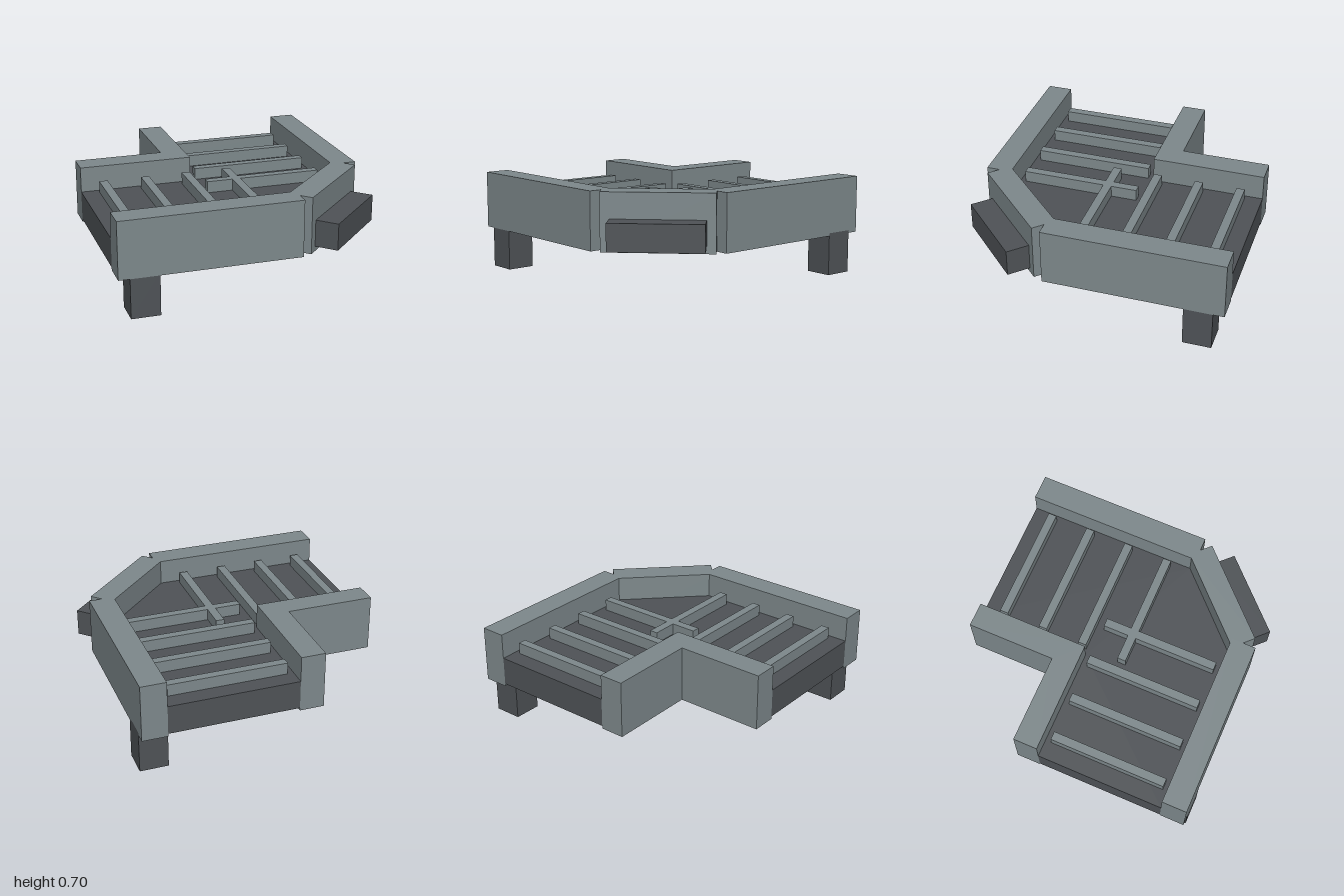
import * as THREE from 'three';

export function createModel() {
  const model = new THREE.Group();
  const wallMat = new THREE.MeshStandardMaterial({ color: 0x7e898c });
  wallMat.name = 'steelGrey';
  const floorMat = new THREE.MeshStandardMaterial({ color: 0x4f5357 });
  floorMat.name = 'darkGrey';

  // box given by its min and max along each axis
  const box = (name, mat, x0, x1, y0, y1, z0, z1) => {
    const mesh = new THREE.Mesh(new THREE.BoxGeometry(x1 - x0, y1 - y0, z1 - z0), mat);
    mesh.position.set((x0 + x1) / 2, (y0 + y1) / 2, (z0 + z1) / 2);
    mesh.name = name;
    model.add(mesh);
    return mesh;
  };
  // plan outline of [x, z] points raised from y0 to y1
  const slab = (name, mat, points, y0, y1) => {
    const shape = new THREE.Shape(points.map(([x, z]) => new THREE.Vector2(x, -z)));
    const geo = new THREE.ExtrudeGeometry(shape, { depth: y1 - y0, bevelEnabled: false });
    geo.rotateX(-Math.PI / 2);
    geo.translate(0, y0, 0);
    const mesh = new THREE.Mesh(geo, mat);
    mesh.name = name;
    model.add(mesh);
  };
  // box turned to face the cut corner, centred at x = z = c
  const cornerBox = (name, mat, length, y0, y1, thick, c) => {
    const mesh = box(name, mat, -length / 2, length / 2, y0, y1, -thick / 2, thick / 2);
    mesh.position.x = mesh.position.z = c;
    mesh.rotation.y = Math.PI / 4;
  };

  const bottom = 0.29, top = 0.705;
  const floorBottom = 0.31, floorTop = 0.52, ribTop = 0.605;

  // L-shaped floor with a cut outer corner
  slab('floor', floorMat, [
    [-1, -0.172], [-0.172, -0.172], [-0.172, -1], [0.772, -1],
    [0.772, 0.268], [0.268, 0.772], [-1, 0.772],
  ], floorBottom, floorTop);

  // outer walls, cut-corner wall and its step
  box('frontWall', wallMat, -1, 0.303, bottom, top, 0.772, 0.955);
  box('leftWall', wallMat, 0.772, 0.955, bottom, top, -1, 0.303);
  cornerBox('cornerWall', wallMat, 0.786, bottom, top, 0.182, 0.5835);
  cornerBox('cornerStep', floorMat, 0.658, 0.325, 0.52, 0.17, 0.7075);

  // inner wall around the notch
  slab('innerWall', wallMat, [
    [-1, -0.35], [-0.35, -0.35], [-0.35, -1], [-0.172, -1],
    [-0.172, -0.172], [-1, -0.172],
  ], bottom, top);

  // raised ribs, mirrored across the diagonal
  for (const c of [-0.843, -0.531, -0.218, 0.094]) {
    box('frontWingRib', wallMat, c - 0.031, c + 0.031, floorTop, ribTop, -0.127, 0.733);
    box('backWingRib', wallMat, -0.127, 0.733, floorTop, ribTop, c - 0.031, c + 0.031);
  }

  // legs under the two far ends
  box('frontLeg', floorMat, -0.92, -0.713, 0, floorBottom, 0.75, 0.955);
  box('backLeg', floorMat, 0.75, 0.955, 0, floorBottom, -0.92, -0.713);

  return model;
}
